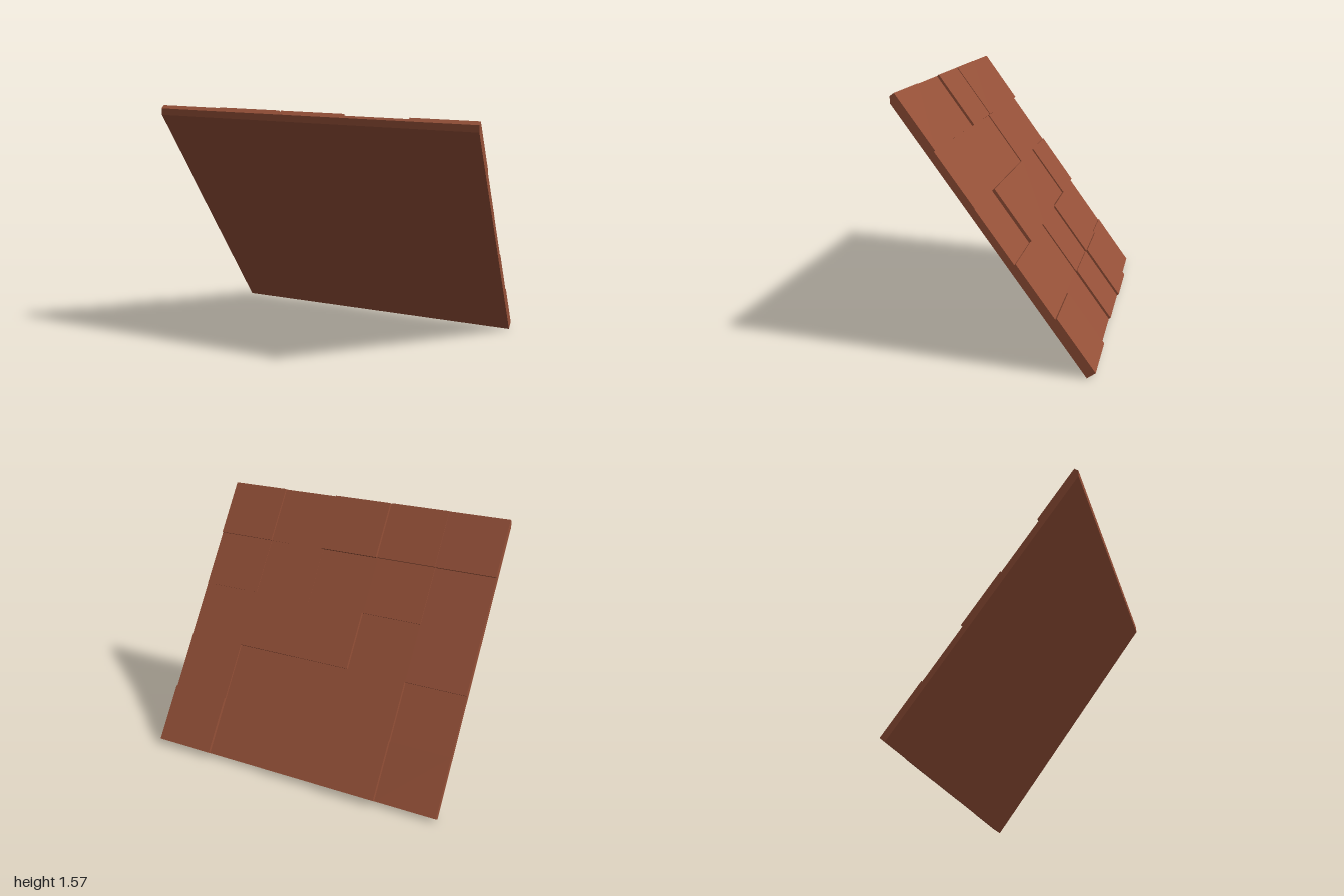
import * as THREE from 'three';

const PITCH = 0.9455;      // slope of the panel, radians
const LENGTH = 1.894;      // slope length
const SLAB = 0.0234;       // slab thickness
const COLS = 5, ROWS = 5;

// tile thickness: rows from the eave to the ridge, columns from -x to +x
const THICKNESS = [
  [0.017, 0.044, 0.030, 0.016, 0.038],
  [0.010, 0.034, 0.023, 0.016, 0.027],
  [0.024, 0.015, 0.037, 0.037, 0.018],
  [0.016, 0.023, 0.017, 0.018, 0.021],
  [0.030, 0.035, 0.034, 0.019, 0.030],
];

export function createModel() {
  const model = new THREE.Group();
  model.name = 'roofPanel';
  const clay = new THREE.MeshStandardMaterial({ color: 0x955038 });
  clay.name = 'clay brown';

  // sloped frame: local z runs up the slope, local y points out of the roof
  const slope = new THREE.Group();
  slope.name = 'slopedPanel';
  slope.position.set(0, 0.014, -0.539);
  slope.rotation.x = -PITCH;
  model.add(slope);

  // backing slab, cut plumb at the ridge end
  const profile = new THREE.Shape();
  profile.moveTo(0, -SLAB);
  profile.lineTo(LENGTH - SLAB * Math.tan(PITCH), -SLAB);
  profile.lineTo(LENGTH, 0);
  profile.lineTo(0, 0);
  profile.closePath();
  const slabGeo = new THREE.ExtrudeGeometry(profile, { depth: 2, bevelEnabled: false });
  slabGeo.rotateY(-Math.PI / 2);
  slabGeo.translate(1, 0, 0);
  const slab = new THREE.Mesh(slabGeo, clay);
  slab.name = 'backingSlab';
  slope.add(slab);

  // grid of flat tiles with uneven thickness
  const tiles = new THREE.Group();
  tiles.name = 'tiles';
  slope.add(tiles);
  const w = 2 / COLS, d = LENGTH / ROWS;
  THICKNESS.forEach((row, r) => row.forEach((t, c) => {
    const tile = new THREE.Mesh(new THREE.BoxGeometry(w, t, d), clay);
    const slip = r === 4 && c === 2 ? 0.01 : 0; // one tile has slipped sideways
    tile.position.set(-1 + (c + 0.5) * w + slip, t / 2, (r + 0.5) * d);
    tile.name = `tileRow${r + 1}Column${c + 1}`;
    tiles.add(tile);
  }));

  return model;
}
